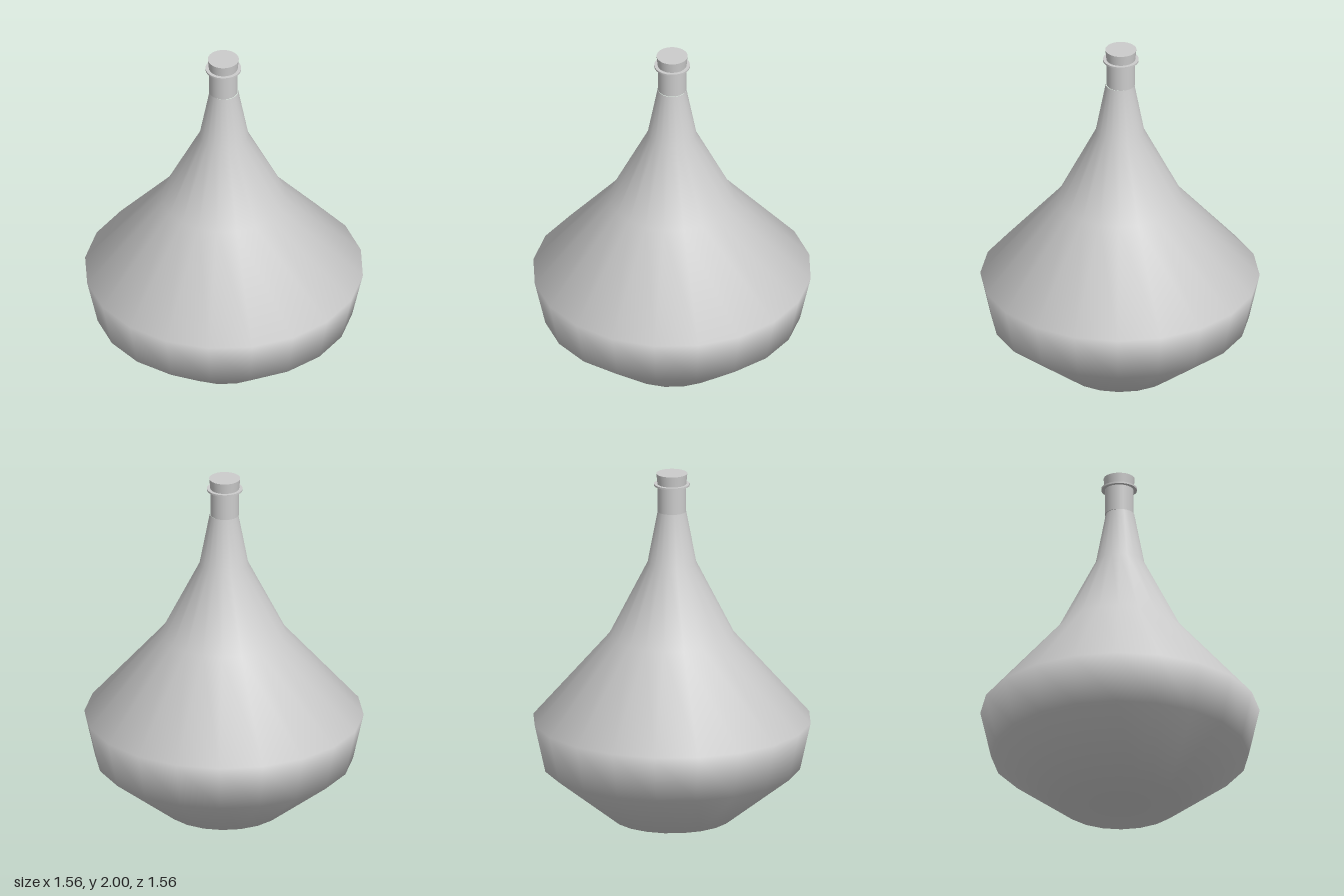
import * as THREE from 'three';

export function createModel() {
  const group = new THREE.Group();
  const material = new THREE.MeshStandardMaterial({ color: 0xcccccc });

  const add = (name, geometry, x = 0, y = 0) => {
    const mesh = new THREE.Mesh(geometry, material);
    mesh.name = name;
    mesh.position.set(x, y, 0);
    group.add(mesh);
  };

  // Flask body: twenty-sided lathe, closed at the base, smooth normals
  const profile = [
    [0, 0], [0.335, 0], [0.72, 0.3], [0.78, 0.57],
    [0.35, 1.06], [0.137, 1.48], [0.08, 1.78],
  ].map(([r, y]) => new THREE.Vector2(r, y));
  add('body', new THREE.LatheGeometry(profile, 20));

  // Straight neck, slightly off the body's axis
  const neckX = -0.005;
  add('neck', new THREE.CylinderGeometry(0.08, 0.08, 0.155, 32), neckX, 1.8575);

  // Thin collar around the neck
  add('collar', new THREE.CylinderGeometry(0.1, 0.1, 0.01, 32), neckX, 1.935);

  // Flared, closed mouth
  add('mouth', new THREE.CylinderGeometry(0.087, 0.08, 0.07, 32), neckX, 1.965);

  return group;
}
